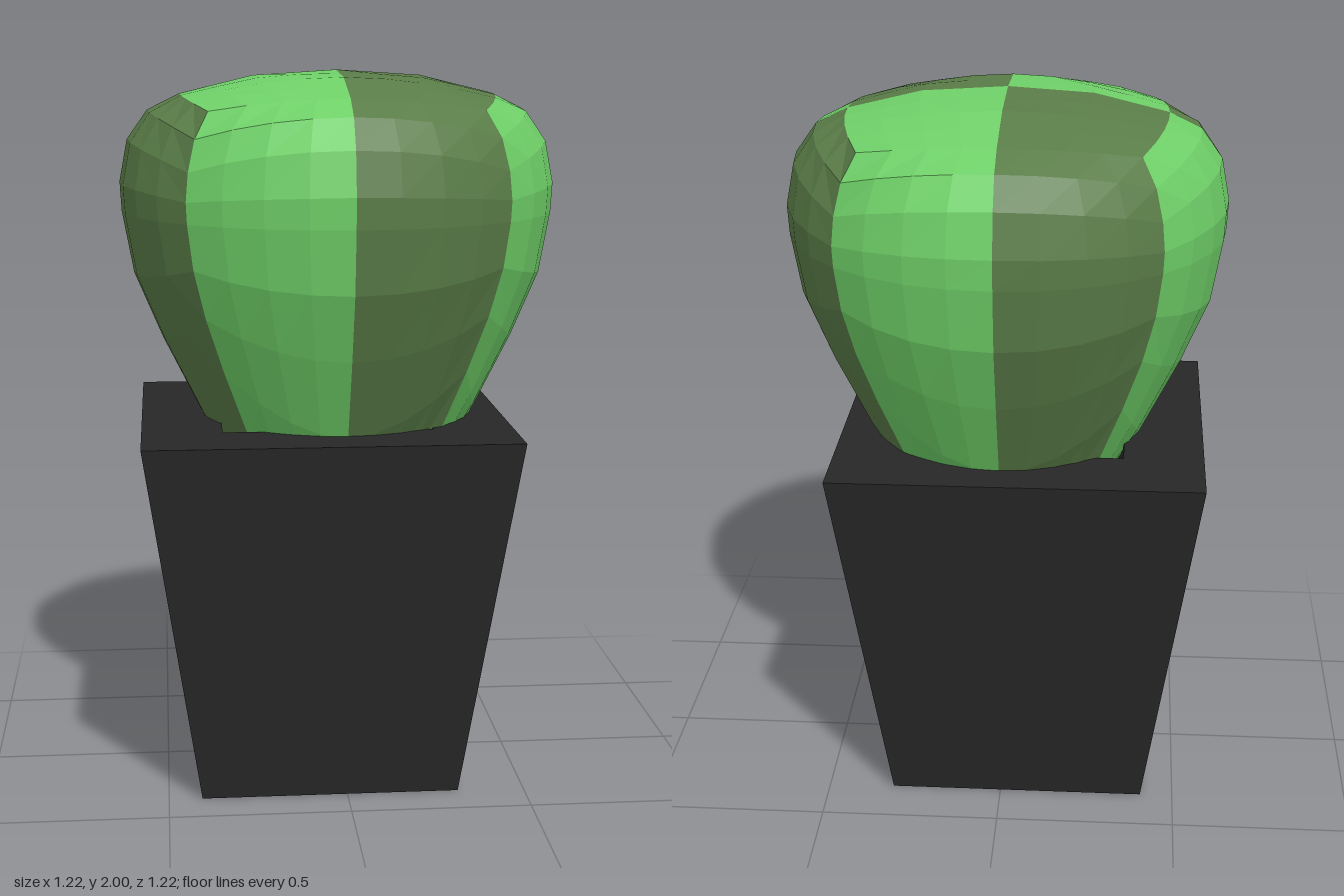
import * as THREE from 'three';

// Plant silhouette: [polar angle in degrees, radius, height]
const PROFILE = [
  [0, 0, 2], [22.5, 0.235, 1.985], [45, 0.44, 1.935], [55, 0.523, 1.9],
  [67.5, 0.587, 1.81], [79, 0.61, 1.69], [90, 0.605, 1.61], [101, 0.575, 1.44],
  [112.5, 0.495, 1.25], [125, 0.37, 1.0], [135, 0.3, 0.9], [157.5, 0.16, 0.84], [180, 0, 0.82],
];

function profileAt(deg) {
  let i = 0;
  while (i < PROFILE.length - 2 && deg > PROFILE[i + 1][0]) i++;
  const [a, b] = [PROFILE[i], PROFILE[i + 1]];
  const t = (deg - a[0]) / (b[0] - a[0]);
  return [THREE.MathUtils.lerp(a[1], b[1], t), THREE.MathUtils.lerp(a[2], b[2], t)];
}

// Point of a rounded cube face (u, v in -1..1), reshaped to the plant silhouette
function plantPoint(axis, sign, u, v) {
  const c = [0, 0, 0];
  c[axis] = sign;
  c[(axis + 1) % 3] = sign * Math.tan(u * Math.PI / 4);
  c[(axis + 2) % 3] = Math.tan(v * Math.PI / 4);
  const d = new THREE.Vector3(...c).normalize();
  const [r, y] = profileAt(THREE.MathUtils.radToDeg(Math.acos(d.y)));
  const h = Math.hypot(d.x, d.z) || 1;
  return new THREE.Vector3(d.x / h * r, y, d.z / h * r);
}

// Six 8 x 8 faces, split into light and dark panels
function createPlant() {
  const N = 8;
  const panels = { lightPanels: [], darkPanels: [] };
  for (let axis = 0; axis < 3; axis++) for (const sign of [1, -1]) {
    for (let i = 0; i < N; i++) for (let j = 0; j < N; j++) {
      const p = (a, b) => plantPoint(axis, sign, (a / N) * 2 - 1, (b / N) * 2 - 1);
      const [A, B, C, D] = [p(i, j), p(i + 1, j), p(i + 1, j + 1), p(i, j + 1)];
      const mid = p(i + 0.5, j + 0.5);
      const light = (mid.x * mid.z < 0) !== (axis === 0);
      const target = light ? panels.lightPanels : panels.darkPanels;
      for (const q of [A, B, C, A, C, D]) target.push(q);
    }
  }
  const plant = new THREE.Group();
  plant.name = 'plant';
  const colors = { lightPanels: 0x6fd068, darkPanels: 0x5a7d48 };
  for (const name in panels) {
    const geometry = new THREE.BufferGeometry().setFromPoints(panels[name]);
    geometry.computeVertexNormals();
    const mesh = new THREE.Mesh(geometry,
      new THREE.MeshStandardMaterial({ color: colors[name], flatShading: true }));
    mesh.name = name;
    plant.add(mesh);
  }
  return plant;
}

// Square tapered pot with a square recess in its top
function createPot() {
  const section = [[0, 0], [0.36, 0], [0.512, 1.03], [0.29, 1.03], [0.26, 0.75], [0, 0.75]]
    .map(([half, y]) => new THREE.Vector2(half * Math.SQRT2, y));
  const pot = new THREE.Mesh(new THREE.LatheGeometry(section, 4, Math.PI / 4),
    new THREE.MeshStandardMaterial({ color: 0x272727, flatShading: true }));
  pot.name = 'pot';
  pot.position.set(-0.047, 0, 0.013);
  return pot;
}

export function createModel() {
  const model = new THREE.Group();
  model.name = 'pottedPlant';
  model.add(createPot(), createPlant());
  return model;
}
